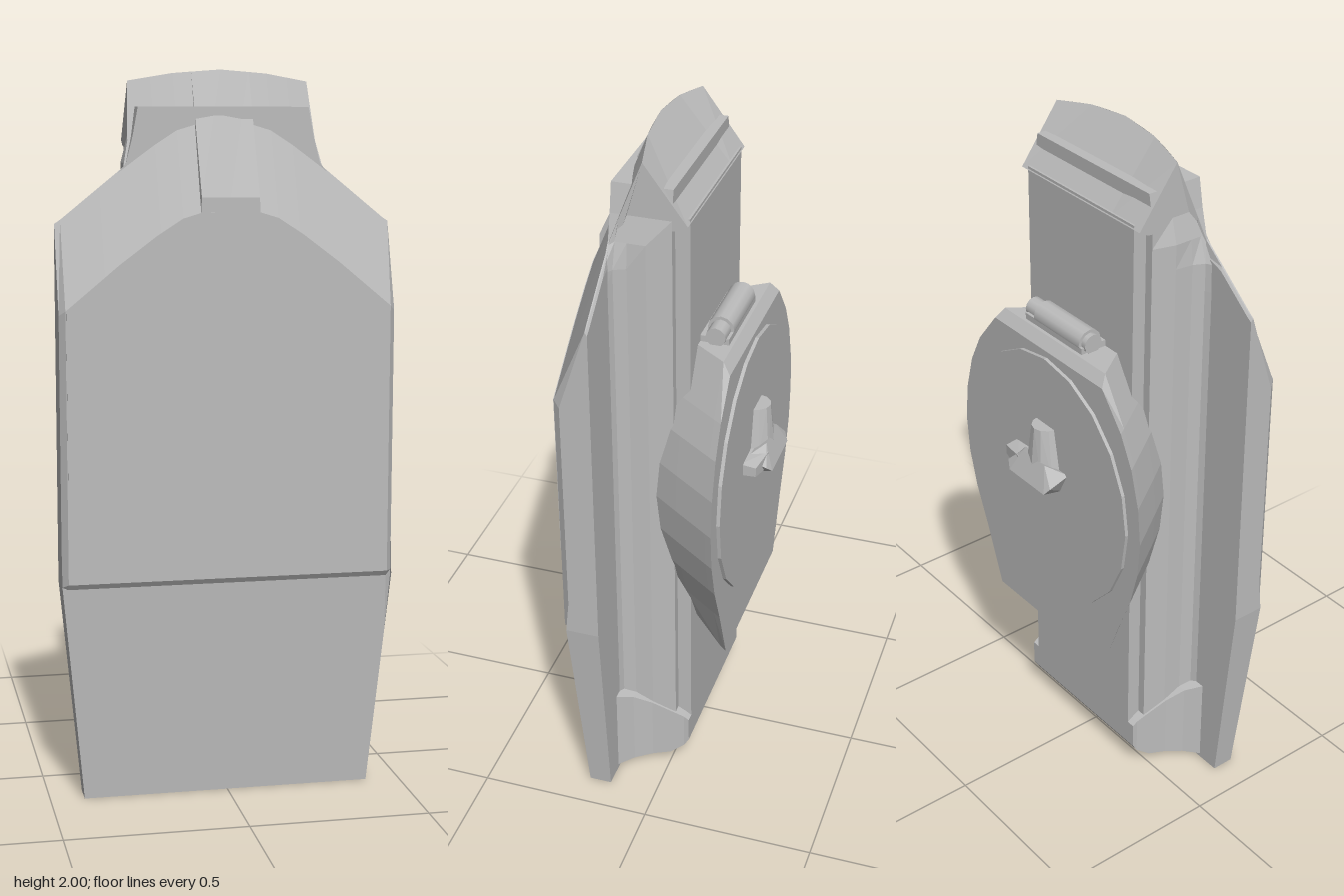
import * as THREE from 'three';
import { ConvexGeometry } from 'three/addons/geometries/ConvexGeometry.js';

const grey = new THREE.MeshStandardMaterial({ color: 0xbcbcbc });
grey.name = 'plain grey';

// piecewise linear lookup in [key, value] pairs
function lerpTable(table, k) {
  if (k <= table[0][0]) return table[0][1];
  for (let i = 1; i < table.length; i++) {
    const [a, va] = table[i - 1], [b, vb] = table[i];
    if (k <= b) return va + (vb - va) * (k - a) / (b - a);
  }
  return table[table.length - 1][1];
}

// closed solid through matching loops of [x, y, z], flat shaded, turned outward
function loft(sections) {
  const tris = [];
  const n = sections[0].length;
  for (let s = 0; s < sections.length - 1; s++) {
    for (let i = 0; i < n; i++) {
      const j = (i + 1) % n;
      const a = sections[s][i], b = sections[s][j], c = sections[s + 1][j], d = sections[s + 1][i];
      tris.push([a, b, c], [a, c, d]);
    }
  }
  const cap = (loop, flip) => {
    const mid = [0, 1, 2].map(k => loop.reduce((t, p) => t + p[k], 0) / n);
    loop.forEach((p, i) => {
      const q = loop[(i + 1) % n];
      tris.push(flip ? [mid, q, p] : [mid, p, q]);
    });
  };
  cap(sections[0], true);
  cap(sections[sections.length - 1], false);
  let volume = 0;
  const v = p => new THREE.Vector3(...p);
  for (const [a, b, c] of tris) volume += v(a).dot(v(b).cross(v(c)));
  const flat = tris.flatMap(([a, b, c]) => (volume < 0 ? [a, c, b] : [a, b, c])).flat();
  const g = new THREE.BufferGeometry();
  g.setAttribute('position', new THREE.Float32BufferAttribute(flat, 3));
  g.computeVertexNormals();
  return g;
}

const mirrorLoop = half => [...half, ...half.map(([x, y, z]) => [-x, y, z]).reverse()];

// outline rules as functions of |x|
const topY = x => lerpTable([[0, 2], [0.13, 1.99], [0.25, 1.97], [0.26, 1.81], [0.275, 1.74], [0.46, 1.59]], x);
const bottomY = x => lerpTable([[0, 0], [0.405, 0], [0.463, 0.61]], x);
const edgeY = x => lerpTable([[0, 1.635], [0.08, 1.62], [0.13, 1.605], [0.2, 1.56], [0.3, 1.485], [0.463, 1.35]], x);
const topZ = x => 0.245 - 0.41 * (topY(x) - edgeY(x));

export function createModel() {
  const model = new THREE.Group();
  const add = (name, geometry, parent = model) => {
    const mesh = new THREE.Mesh(geometry, grey);
    mesh.name = name;
    parent.add(mesh);
    return mesh;
  };

  // front shell: side profiles swept across x, with sloped shoulders and a notch
  const half = [0, 0.079, 0.081, 0.13, 0.19, 0.25, 0.26, 0.275, 0.34, 0.405, 0.447, 0.463];
  const xs = [...half.slice(1).reverse().map(x => -x), ...half];
  add('frontShell', loft(xs.map(sx => {
    const x = Math.abs(sx), b = bottomY(x), t = topY(x), zt = topZ(x);
    const rim = x > 0.45 ? 0.225 : 0.245;
    const e = x < 0.08 ? 1.66 : edgeY(x);
    return [
      [sx, b, 0.205 + 0.05 * b], [sx, Math.max(b, 0.605), Math.min(rim, 0.235)],
      [sx, Math.max(b, 0.62), rim], [sx, e, rim], [sx, t, zt],
      [sx, t - 0.002, Math.min(zt, 0.145)], [sx, Math.min(t - 0.01, 1.7), 0.14], [sx, b, 0.14],
    ];
  })));

  // thin face panel, rounded below and following the shoulder edge above
  const panel = new THREE.Shape();
  const lower = [[-0.445, 0.88], [-0.38, 0.81], [-0.25, 0.705], [-0.14, 0.65], [0, 0.63],
    [0.14, 0.65], [0.25, 0.705], [0.38, 0.81], [0.445, 0.88]];
  panel.setFromPoints([
    ...lower, ...[0.445, 0.3, 0.2, 0.13, 0.08, -0.08, -0.13, -0.2, -0.3, -0.445].map(x => [x, edgeY(Math.abs(x))]),
  ].map(p => new THREE.Vector2(...p)));
  add('facePanel', new THREE.ExtrudeGeometry(panel, { depth: 0.004, bevelEnabled: false })).position.z = 0.243;

  // hood: slopes from the crest down to the rear
  const hoodXs = [-0.25, -0.13, 0, 0.13, 0.25];
  add('hood', loft(hoodXs.map(x => {
    const a = Math.abs(x);
    return [[x, topY(a), topZ(a)], [x, 1.81, -0.057], [x, 1.795, -0.03], [x, 1.78, 0.1], [x, 1.85, 0.11]];
  })));

  // rear body: filleted flanks that follow the narrowing neck
  add('rearBody', loft([[0.05, 0.4], [1.6, 0.4], [1.68, 0.325], [1.75, 0.268], [1.82, 0.25], [1.9, 0.235]].map(([y, limit]) =>
    mirrorLoop([[0.33, 0.15], [0.29, 0.132], [0.275, 0.1], [0.268, 0.05], [0.25, -0.015], [0.225, -0.015]]
      .map(([x, z]) => [Math.min(x, limit), y, z])))));
  const spine = add('rearPanel', new THREE.BoxGeometry(0.45, 1.68, 0.05));
  spine.position.set(0, 0.98, -0.03);

  // foot: flared lip with a rounded underside
  add('foot', loft([
    [0.2, 0.4, 0.002, 0.2], [0.15, 0.345, 0.01, 0.285], [0.1, 0.3, 0.018, 0.26],
    [0.05, 0.275, 0.027, 0.23], [0, 0.26, 0.035, 0.2], [-0.04, 0.25, 0.065, 0.178], [-0.055, 0.25, 0.09, 0.168],
  ].map(([z, w, lo, hi]) => mirrorLoop([[w, lo, z], [w, hi, z]]))));

  // flared housing behind the body
  const rear = [[0.25, 0.465], [0.315, 0.64], [0.365, 0.76], [0.395, 0.87], [0.405, 0.98],
    [0.395, 1.09], [0.365, 1.2], [0.32, 1.29], [0.24, 1.39]];
  const ring = (z, inset, rise) => mirrorLoop(rear.map(([x, y], i) => {
    const dy = i === 0 ? rise : i === rear.length - 1 ? 0.03 : 0;
    return [x - inset, y + dy, z];
  }));
  add('housing', loft([
    rear.length && mirrorLoop(rear.map(([x, y]) => [x, y, -0.168])),
    ring(-0.145, 0.016, 0.005), ring(-0.04, 0.09, 0.055), ring(0.05, 0.155, 0.1),
  ]));

  // faceted rear disc
  const disc = add('rearDisc', new THREE.CylinderGeometry(0.355, 0.355, 0.02, 20).toNonIndexed());
  disc.geometry.computeVertexNormals();
  disc.geometry.rotateX(Math.PI / 2).scale(1, 1.09, 1);
  disc.position.set(0, 0.985, -0.168);

  // small capsule roll on top of the housing, with a shorter end collar
  const roll = new THREE.Group();
  roll.name = 'topRoll';
  const barrel = add('rollBarrel', new THREE.CylinderGeometry(0.037, 0.037, 0.2, 12), roll);
  barrel.rotation.z = Math.PI / 2;
  const collar = add('rollCollar', new THREE.CylinderGeometry(0.028, 0.028, 0.265, 12), roll);
  collar.rotation.z = Math.PI / 2;
  collar.position.x = 0.017;
  const seat = add('rollSeat', new THREE.BoxGeometry(0.25, 0.06, 0.08), roll);
  seat.position.set(0.015, -0.035, 0.005);
  roll.position.set(0, 1.443, -0.1);
  model.add(roll);

  // knob: tapered upright stem on a wedge shaped grip
  const hull = pts => new ConvexGeometry(pts.map(p => new THREE.Vector3(...p)));
  const arch = (r, y, depth) => Array.from({ length: 7 }, (_, i) => {
    const a = Math.PI * i / 6;
    return [r * Math.cos(a), y, -0.17 - depth * Math.sin(a)];
  });
  add('knobStem', hull([...arch(0.042, 1.165, 0.046), ...arch(0.068, 1.02, 0.06)]));
  add('knobGrip', hull([
    [-0.095, 1.04, -0.17], [0.1, 1.04, -0.17], [-0.06, 0.97, -0.17], [0.06, 0.97, -0.17],
    [-0.095, 1.02, -0.235], [-0.08, 1.0, -0.246], [0.08, 1.0, -0.246], [0.1, 1.02, -0.235],
    [-0.05, 1.07, -0.22], [0.05, 1.07, -0.22],
  ]));
  add('knobTab', hull([
    [0.06, 1.05, -0.17], [0.06, 1.0, -0.17], [0.138, 1.045, -0.17], [0.138, 1.01, -0.17],
    [0.06, 1.05, -0.23], [0.06, 1.0, -0.23], [0.138, 1.04, -0.215], [0.138, 1.012, -0.215],
  ]));

  return model;
}
